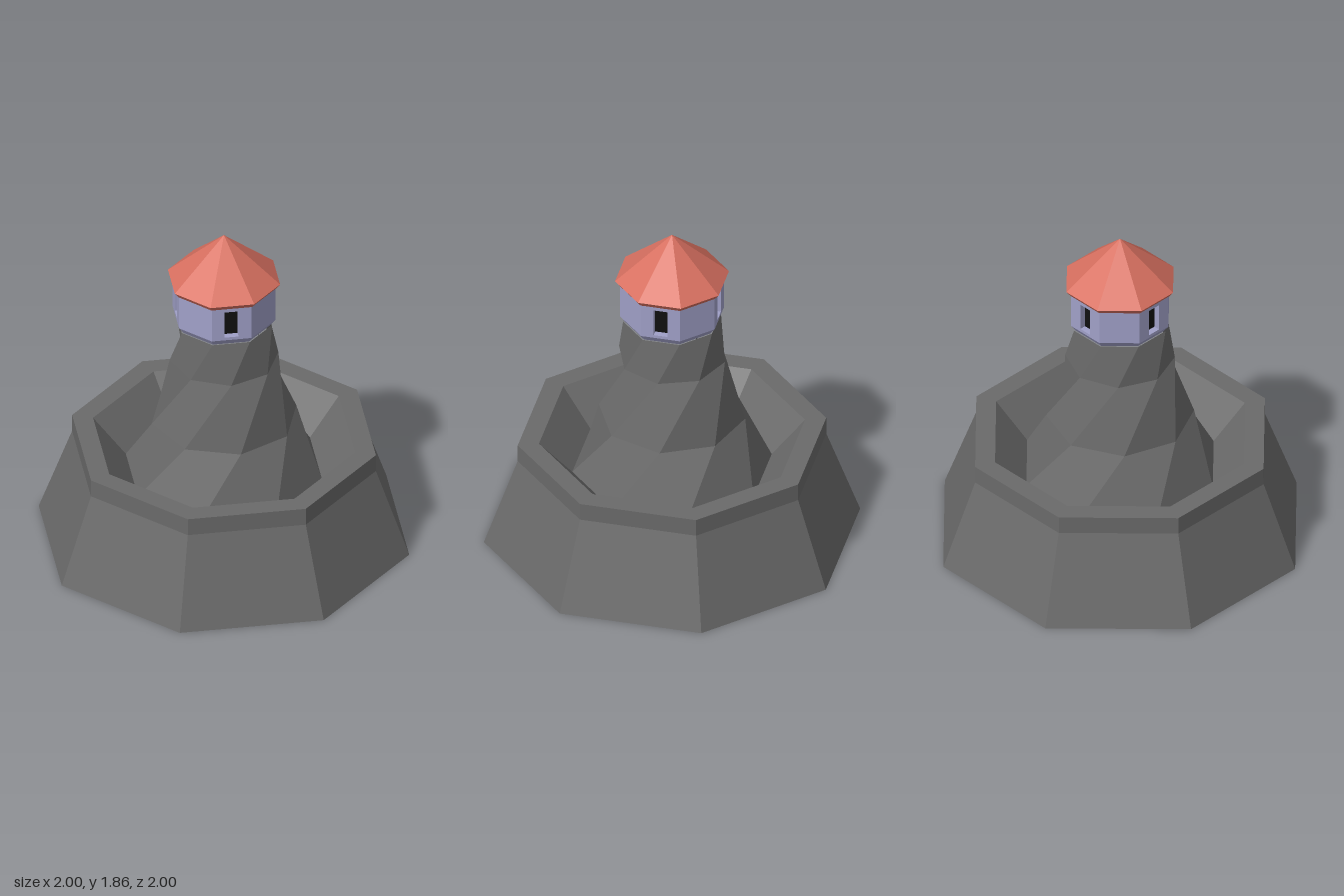
import * as THREE from 'three';

const mat = (name, color) => {
  const m = new THREE.MeshStandardMaterial({ color });
  m.name = name;
  m.flatShading = true;
  return m;
};

// Eight-sided turned form from a profile of [radius, height] points
function octagonal(name, profile, material) {
  const points = profile.map(([r, y]) => new THREE.Vector2(r, y));
  const mesh = new THREE.Mesh(new THREE.LatheGeometry(points, 8), material);
  mesh.name = name;
  return mesh;
}

// Octagonal shaft whose rings [height, radius, degrees] turn as they rise;
// each twisted panel gets one normal of its own
function twistedShaft(rings) {
  const corner = ([y, r, turn], k) => {
    const a = THREE.MathUtils.degToRad(turn + k * 45);
    return new THREE.Vector3(r * Math.cos(a), y, r * Math.sin(a));
  };
  const pos = [], nor = [], index = [];
  for (let i = 0; i < rings.length - 1; i++) {
    for (let k = 0; k < 8; k++) {
      const quad = [
        corner(rings[i], k), corner(rings[i], k - 1),
        corner(rings[i + 1], k - 1), corner(rings[i + 1], k),
      ];
      const [a, b, c, d] = quad;
      const n = c.clone().sub(a).cross(d.clone().sub(b)).normalize();
      const s = pos.length / 3;
      for (const p of quad) {
        pos.push(p.x, p.y, p.z);
        nor.push(n.x, n.y, n.z);
      }
      index.push(s, s + 1, s + 2, s, s + 2, s + 3);
    }
  }
  const geo = new THREE.BufferGeometry();
  geo.setAttribute('position', new THREE.Float32BufferAttribute(pos, 3));
  geo.setAttribute('normal', new THREE.Float32BufferAttribute(nor, 3));
  geo.setIndex(index);
  return geo;
}

export function createModel() {
  const stone = mat('stone grey', 0x6a6a6a);
  const shaftStone = stone;
  stone.flatShading = false;
  const wall = mat('lavender wall', 0xa0a0c8);
  const tile = mat('red roof', 0xd87060);
  const dark = mat('window black', 0x101010);

  const model = new THREE.Group();
  model.name = 'tower';

  // Base with a sunken court behind its rim
  const base = octagonal('base', [
    [0, 0], [1, 0], [0.82, 0.5], [0.82, 0.6], [0.707, 0.6], [0.53, 0.4], [0, 0.4],
  ], stone);
  base.geometry = base.geometry.toNonIndexed();
  base.geometry.computeVertexNormals();
  model.add(base);

  // Twisted shaft
  const shaft = new THREE.Mesh(twistedShaft([
    [0.4, 0.53, 0], [0.73, 0.39, -26.5], [1.1, 0.288, -66], [1.335, 0.26, -90],
  ]), shaftStone);
  shaft.name = 'shaft';
  model.add(shaft);

  // Flared floor of the lookout room
  const R = 0.277, floorY = 1.37, topY = 1.57;
  model.add(octagonal('roomFloor', [[0, 1.333], [0.25, 1.333], [R, floorY]], wall));

  // Eight wall panels, every second one with a recessed window
  const half = R * Math.sin(Math.PI / 8), apothem = R * Math.cos(Math.PI / 8);
  const depth = 0.035, winHalf = 0.037, winLow = 1.387, winHigh = 1.545;
  const rect = (Type, w, y0, y1) => new Type([
    new THREE.Vector2(-w, y0), new THREE.Vector2(w, y0),
    new THREE.Vector2(w, y1), new THREE.Vector2(-w, y1),
  ]);
  for (let k = 0; k < 8; k++) {
    const side = new THREE.Group();
    side.name = 'roomSide';
    side.rotation.y = (k + 0.5) * Math.PI / 4;
    const shape = rect(THREE.Shape, half, floorY, topY);
    if (k % 2 === 1) {
      shape.holes.push(rect(THREE.Path, winHalf, winLow, winHigh));
      const pane = new THREE.Mesh(
        new THREE.PlaneGeometry(winHalf * 2 + 0.01, winHigh - winLow + 0.01), dark);
      pane.name = 'windowPane';
      pane.position.set(0, (winLow + winHigh) / 2, apothem - depth);
      side.add(pane);
    }
    const panel = new THREE.Mesh(
      new THREE.ExtrudeGeometry(shape, { depth, bevelEnabled: false }), wall);
    panel.name = 'wallPanel';
    panel.position.z = apothem - depth;
    side.add(panel);
    model.add(side);
  }

  // Pointed roof with an undercut eave
  model.add(octagonal('roof', [[0, 1.567], [0.28, 1.567], [0.303, 1.597], [0, 1.862]], tile));

  return model;
}
